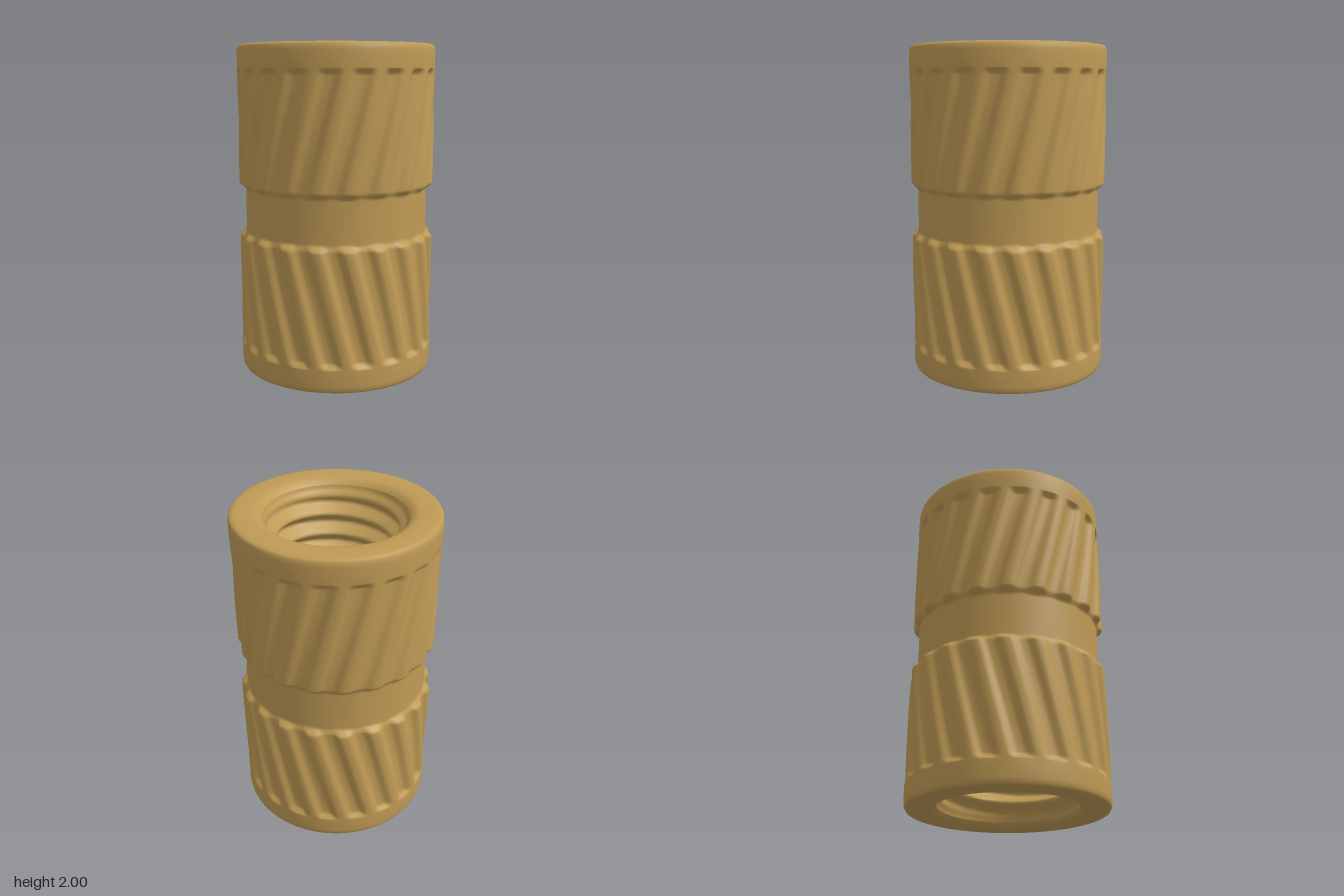
import * as THREE from 'three';

const KNURLS = 20, TAU = Math.PI * 2;
const PITCH = 0.13, MINOR = 0.33, MAJOR = 0.39;
const clamp = THREE.MathUtils.clamp;

// Closed ring surface: one loop of points for each row, smooth normals.
function ringSurface(rows, segments, pointAt) {
  const pos = [], index = [];
  rows.forEach((row, i) => {
    for (let j = 0; j < segments; j++) {
      const { r, y, angle } = pointAt(row, (j / segments) * TAU);
      pos.push(r * Math.sin(angle), y, r * Math.cos(angle));
      if (i === rows.length - 1) continue;
      const a = i * segments + j, b = i * segments + (j + 1) % segments;
      index.push(a, b, a + segments, b, b + segments, a + segments);
    }
  });
  const geo = new THREE.BufferGeometry();
  geo.setAttribute('position', new THREE.Float32BufferAttribute(pos, 3));
  geo.setIndex(index);
  geo.computeVertexNormals();
  return geo;
}

// Half profile from the waist to the lip: [distance from middle, ridge radius, groove radius]
function halfProfile() {
  const half = [[0.05, 0.56, 0.56], [0.12, 0.56, 0.56], [0.132, 0.562, 0.56],
    [0.14, 0.57, 0.562], [0.155, 0.592, 0.57], [0.165, 0.598, 0.572]];
  for (let i = 0; i <= 16; i++) half.push([0.175 + i * 0.04, 0.6, 0.572]);
  half.push([0.825, 0.6, 0.574], [0.838, 0.6, 0.584], [0.85, 0.6, 0.597], [0.858, 0.6, 0.6],
    [0.9, 0.6, 0.6], [0.955, 0.6, 0.6], [0.98, 0.596, 0.596], [0.993, 0.588, 0.588],
    [0.998, 0.565, 0.565], [1, 0.51, 0.51], [0.997, 0.46, 0.46], [0.988, 0.43, 0.43],
    [0.965, 0.41, 0.41]);
  return half;
}

export function createModel() {
  const group = new THREE.Group();
  const brass = new THREE.MeshStandardMaterial({ color: 0xbf9a55 });
  const add = (name, geo) => {
    const mesh = new THREE.Mesh(geo, brass);
    mesh.name = name;
    group.add(mesh);
  };

  // Outer sleeve: two knurled bands slanting opposite ways around a plain waist
  const half = halfProfile();
  const rows = [
    ...half.slice().reverse().map(([d, hi, lo]) => [1 - d, hi, lo, d]),
    ...half.map(([d, hi, lo]) => [1 + d, hi, lo, d]),
  ];
  add('knurledSleeve', ringSurface(rows, KNURLS * 12, ([y, hi, lo, d], t) => {
    const ridge = clamp(0.5 + 0.75 * Math.cos(KNURLS * t), 0, 1);
    const twist = (TAU / KNURLS) * clamp((d - 0.14) / 0.71, 0, 1);
    return { r: lo + (hi - lo) * ridge, y, angle: t + twist };
  }));

  // Threaded bore, with the thread fading out toward both mouths
  const levels = [];
  const steps = 190;
  for (let i = 0; i <= steps; i++) levels.push(1.965 - (1.93 * i) / steps);
  add('threadedBore', ringSurface(levels, 96, (y, t) => {
    const phase = y / PITCH - t / TAU;
    const wave = Math.abs(2 * (phase - Math.floor(phase)) - 1);
    const crest = clamp(wave * 1.4 - 0.2, 0, 1);
    const depth = 1 - Math.abs(y - 1);
    const fade = clamp((depth - 0.06) / 0.08, 0, 1);
    const mouth = MAJOR + 0.02 * clamp((0.1 - depth) / 0.065, 0, 1);
    return { r: mouth - (MAJOR - MINOR) * crest * fade, y, angle: t };
  }));

  return group;
}
